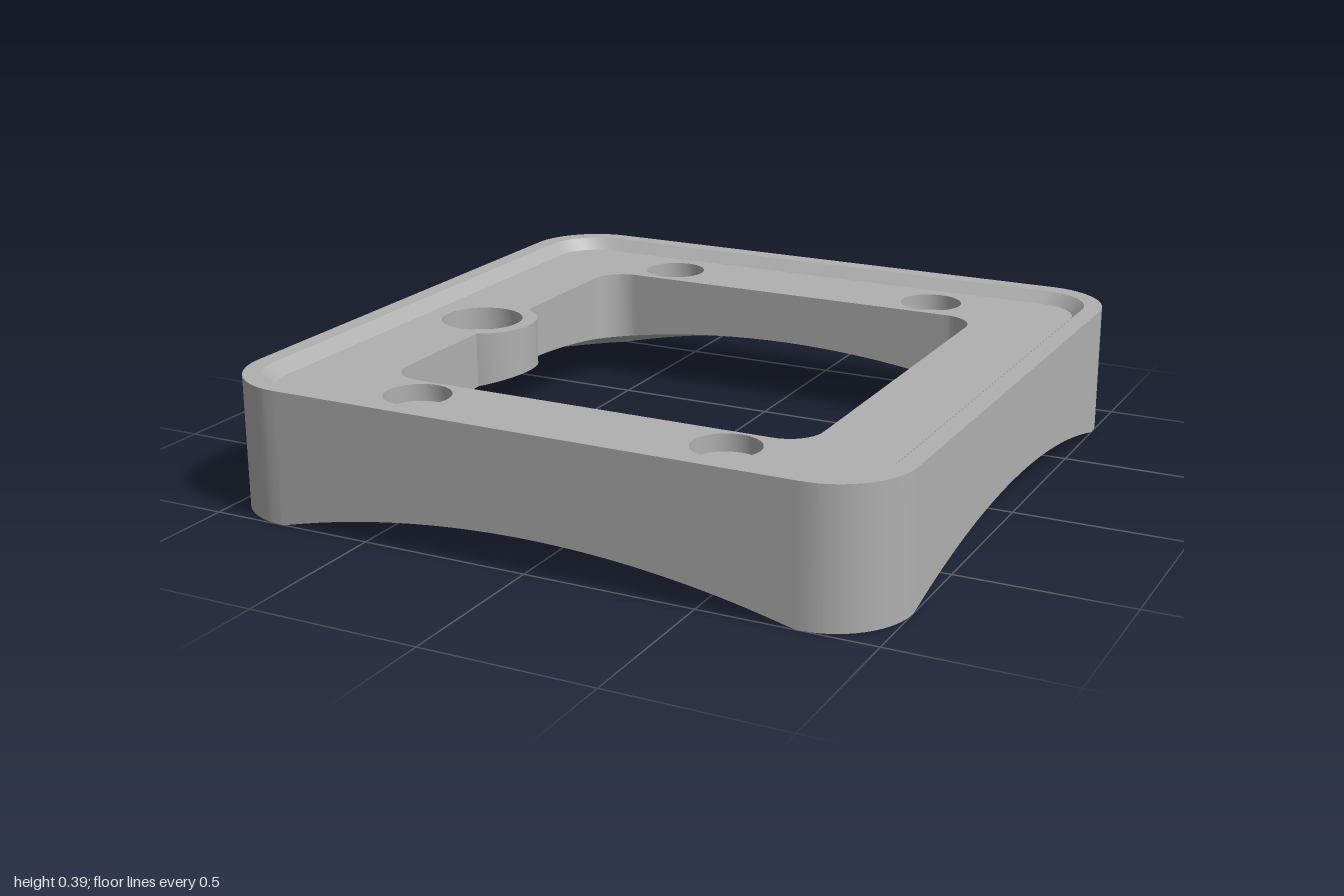
import * as THREE from 'three';
import { toCreasedNormals } from 'three/addons/utils/BufferGeometryUtils.js';

const TOP = 0.39, FLOOR = 0.355;
const BOSS = { x: -0.725, z: 0.03, r: 0.17 };
// Spherical hollow of the underside, cut flat at the feet
const SPHERE_R2 = 10.3, SPHERE_Y = -2.95;
const FOOT_R = Math.sqrt(SPHERE_R2 - SPHERE_Y * SPHERE_Y);
const underside = (r) => Math.max(0, Math.sqrt(SPHERE_R2 - r * r) + SPHERE_Y);

// Even angles plus the exact ends of corner arcs and of the boss
const angles = [];
for (let i = 0; i < 360; i++) angles.push((i * Math.PI) / 180);
const addAngle = (x, z) => angles.push((Math.atan2(z, x) + 2 * Math.PI) % (2 * Math.PI));
for (const [a, b] of [[0.78, 1], [0.78, 0.945], [0.78, 0.91], [0.55, 0.65]]) {
  for (const sx of [-1, 1]) for (const sz of [-1, 1]) {
    addAngle(sx * a, sz * b);
    addAngle(sx * b, sz * a);
  }
}
const bossHalf = Math.sqrt(BOSS.r ** 2 - (BOSS.x + 0.65) ** 2);
addAngle(-0.65, BOSS.z + bossHalf);
addAngle(-0.65, BOSS.z - bossHalf);
angles.sort((a, b) => a - b);

// Distance from the centre to a rounded square
function squareRadius(angle, half, corner) {
  const c = Math.abs(Math.cos(angle)), s = Math.abs(Math.sin(angle));
  const t = half / Math.max(c, s), q = half - corner;
  if (t * c <= q || t * s <= q) return t;
  const p = q * (c + s);
  return p + Math.sqrt(p * p - 2 * q * q + corner * corner);
}

// Central opening, with the boss bulging into it
function openingRadius(angle) {
  const t = squareRadius(angle, 0.65, 0.1);
  const p = BOSS.x * Math.cos(angle) + BOSS.z * Math.sin(angle);
  const d = p * p - BOSS.x ** 2 - BOSS.z ** 2 + BOSS.r ** 2;
  return p > 0 && d > 0 ? Math.min(t, p - Math.sqrt(d)) : t;
}

const makeLoop = (radius, height) => angles.map((a) => {
  const r = radius(a);
  return new THREE.Vector3(r * Math.cos(a), height(r), r * Math.sin(a));
});
const squareLoop = (half, corner, y) => makeLoop((a) => squareRadius(a, half, corner), () => y);
const circleLoop = (x, z, r, y) => Array.from({ length: 48 }, (_, i) => {
  const a = (i / 48) * Math.PI * 2;
  return new THREE.Vector3(x + r * Math.cos(a), y, z + r * Math.sin(a));
});

// Skin a row of closed loops, leaving out collapsed triangles
function skin(loops) {
  const positions = [];
  const triangle = (a, b, c) => {
    const ab = b.clone().sub(a), ac = c.clone().sub(a);
    if (ab.cross(ac).length() > 1e-9) for (const v of [a, b, c]) positions.push(v.x, v.y, v.z);
  };
  for (let k = 0; k + 1 < loops.length; k++) {
    const a = loops[k], b = loops[k + 1];
    for (let i = 0; i < a.length; i++) {
      const j = (i + 1) % a.length;
      triangle(a[i], a[j], b[i]);
      triangle(a[j], b[j], b[i]);
    }
  }
  const geometry = new THREE.BufferGeometry();
  geometry.setAttribute('position', new THREE.Float32BufferAttribute(positions, 3));
  return toCreasedNormals(geometry, 0.4);
}

// Flat upward face bounded by a loop, with holes
function plate(outline, holes = []) {
  const flat = (loop) => loop.map((v) => new THREE.Vector2(v.x, -v.z));
  const shape = new THREE.Shape(flat(outline));
  shape.holes = holes.map((h) => new THREE.Path(flat(h)));
  return new THREE.ShapeGeometry(shape).rotateX(-Math.PI / 2).translate(0, outline[0].y, 0);
}

export function createModel() {
  const group = new THREE.Group();
  const grey = new THREE.MeshStandardMaterial({ color: 0xb0b0b0 });
  grey.name = 'grey';
  const add = (name, geometry) => {
    const mesh = new THREE.Mesh(geometry, grey);
    mesh.name = name;
    group.add(mesh);
  };

  const outer = (a) => squareRadius(a, 1, 0.22);
  const outerTop = squareLoop(1, 0.22, TOP);
  const rimEdge = squareLoop(0.945, 0.165, TOP);
  const floorEdge = squareLoop(0.91, 0.13, FLOOR);
  const outerBottom = makeLoop(outer, underside);
  const openingBottom = makeLoop(openingRadius, underside);
  const openingTop = makeLoop(openingRadius, () => FLOOR);

  // Outside wall, rim and sloping lip of the recess
  add('outerWall', skin([outerTop, outerBottom]));
  add('rim', skin([floorEdge, rimEdge, outerTop]));

  // Hollow underside, from the flat feet to the opening
  const footRadius = (a) => Math.min(outer(a), FOOT_R);
  const rows = [outerBottom];
  for (let k = 0; k <= 14; k++) {
    rows.push(makeLoop((a) => THREE.MathUtils.lerp(footRadius(a), openingRadius(a), k / 14), underside));
  }
  add('underside', skin(rows));
  add('openingWall', skin([openingBottom, openingTop]));

  // Blind round pockets: x, z, radius, depth
  const pockets = [
    [-0.46, -0.77, 0.096, 0.05],
    [0.455, -0.77, 0.096, 0.05],
    [-0.475, 0.76, 0.096, 0.05],
    [0.47, 0.76, 0.096, 0.05],
    [BOSS.x, BOSS.z, 0.125, 0.07],
  ];
  const mouths = pockets.map(([x, z, r, depth]) => {
    const mouth = circleLoop(x, z, r, FLOOR), base = circleLoop(x, z, r, FLOOR - depth);
    add('pocketWall', skin([base, mouth]));
    add('pocketBase', plate(base));
    return mouth;
  });
  add('recessFloor', plate(floorEdge, [openingTop, ...mouths]));

  return group;
}
